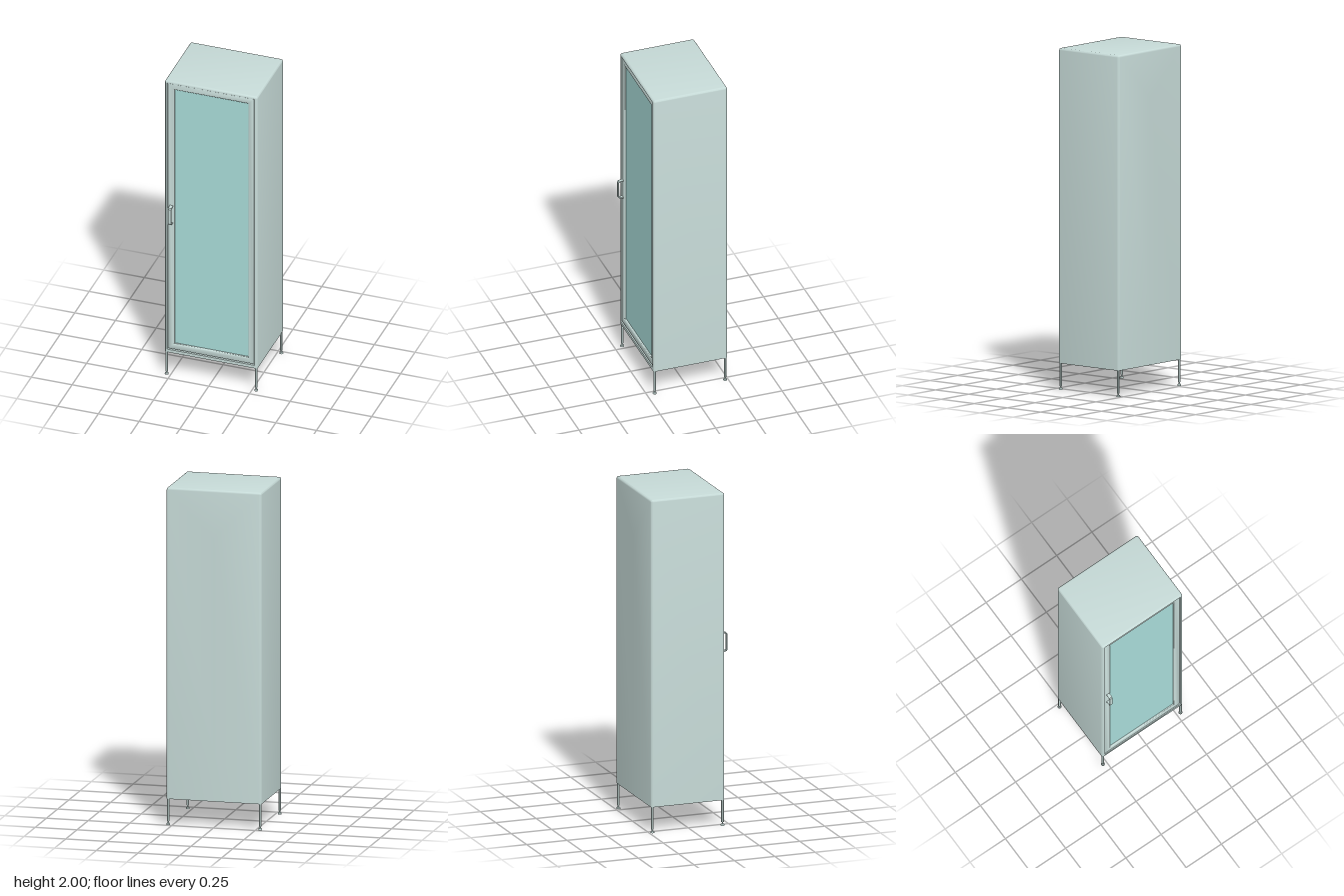
import * as THREE from 'three';
import { toCreasedNormals } from 'three/addons/utils/BufferGeometryUtils.js';

const paint = new THREE.MeshStandardMaterial({ color: 0xc6dad7 });
const glassMat = new THREE.MeshStandardMaterial({ color: 0xa9dcd9 });

const HALF_W = 0.285, BACK = -0.242, FRONT = 0.213, BASE = 0.155, TOP = 2, R = 0.013;

function addMesh(parent, name, geometry, material = paint) {
  const mesh = new THREE.Mesh(geometry, material);
  mesh.name = name;
  parent.add(mesh);
  return mesh;
}

// One rectangle outline, counter-clockwise from the front, inset by d with rounded corners
function outline(halfW, y0, y1, d, bottomInset, rTop, rBottom) {
  const points = [];
  const corners = [[1, 1], [-1, 1], [-1, -1], [1, -1]];
  corners.forEach(([sx, sy], k) => {
    const r = Math.max(0, (sy > 0 ? rTop : rBottom) - d);
    const cx = sx * (halfW - d - r);
    const cy = sy > 0 ? y1 - d - r : y0 + bottomInset + r;
    for (let i = 0; i <= 4; i++) {
      const a = (k + i / 4) * Math.PI / 2;
      points.push([cx + r * Math.cos(a), cy + r * Math.sin(a)]);
    }
  });
  return points;
}

// Sweep a profile of [inset, z, bottomInset] round a rectangle
function frameGeometry(halfW, y0, y1, profile, rTop, rBottom) {
  const positions = [], index = [];
  for (const [d, z, b = d] of profile)
    for (const [x, y] of outline(halfW, y0, y1, d, b, rTop, rBottom)) positions.push(x, y, z);
  const n = 20;
  for (let j = 0; j < profile.length - 1; j++)
    for (let i = 0; i < n; i++) {
      const a = j * n + i, b = j * n + (i + 1) % n;
      index.push(a, b, b + n, a, b + n, a + n);
    }
  const g = new THREE.BufferGeometry();
  g.setAttribute('position', new THREE.Float32BufferAttribute(positions, 3));
  g.setIndex(index);
  return toCreasedNormals(g, 0.5);
}

// Hollow case: rounded at front and back, square along the bottom edge
function caseProfile() {
  const p = [[HALF_W, BACK]];
  for (let i = 0; i <= 4; i++) {
    const a = i / 4 * Math.PI / 2;
    p.push([R * (1 - Math.sin(a)), BACK + R * (1 - Math.cos(a)), 0]);
  }
  for (let i = 0; i <= 4; i++) {
    const a = i / 4 * Math.PI / 2;
    p.push([R * (1 - Math.cos(a)), FRONT - R * (1 - Math.sin(a)), 0]);
  }
  p.push([0.016, FRONT, 0.02], [0.016, BACK + 0.012, 0.02], [HALF_W, BACK + 0.012]);
  return p;
}

export function createModel() {
  const model = new THREE.Group();
  model.name = 'cabinet';

  addMesh(model, 'case', frameGeometry(HALF_W, BASE, TOP, caseProfile(), R, 0));

  // Shelves behind the door
  for (const y of [0.52, 0.88, 1.24, 1.6]) {
    addMesh(model, 'shelf', new THREE.BoxGeometry(0.536, 0.01, 0.39)).position.set(0, y, -0.035);
  }

  // Door: rounded frame with a recessed pane
  const door = new THREE.Group();
  door.name = 'door';
  model.add(door);
  const doorProfile = [
    [0, 0.185], [0, 0.205], [0.001, 0.2075], [0.004, 0.209], [0.029, 0.209],
    [0.034, 0.2075], [0.038, 0.204], [0.04, 0.198], [0.04, 0.185], [0, 0.185],
  ];
  addMesh(door, 'doorFrame', frameGeometry(0.265, 0.179, 1.981, doorProfile, 0.004, 0.004));
  addMesh(door, 'glassPane', new THREE.BoxGeometry(0.454, 1.726, 0.006), glassMat)
    .position.set(0, 1.08, 0.195);

  // Handle: a flat strap bent into a shallow bracket
  const strap = new THREE.Shape([
    [0.207, 1.034], [0.236, 1.039], [0.242, 1.046], [0.242, 1.144], [0.236, 1.151], [0.207, 1.156],
    [0.207, 1.15], [0.233, 1.146], [0.237, 1.141], [0.237, 1.049], [0.233, 1.044], [0.207, 1.04],
  ].map(([z, y]) => new THREE.Vector2(z, y)));
  const strapGeometry = new THREE.ExtrudeGeometry(strap, { depth: 0.02, bevelEnabled: false });
  strapGeometry.rotateY(-Math.PI / 2);
  addMesh(door, 'handle', strapGeometry).position.x = -0.234;

  // Legs with a thin neck and a levelling foot
  const legProfile = [
    [0, 0], [0.011, 0], [0.011, 0.006], [0.009, 0.01], [0.004, 0.012],
    [0.004, 0.022], [0.0075, 0.022], [0.0075, BASE + 0.002],
  ].map(([r, y]) => new THREE.Vector2(r, y));
  const legGeometry = toCreasedNormals(new THREE.LatheGeometry(legProfile, 20), 0.5);
  for (const x of [-0.275, 0.275])
    for (const z of [-0.231, 0.203])
      addMesh(model, 'leg', legGeometry).position.set(x, 0, z);

  return model;
}
